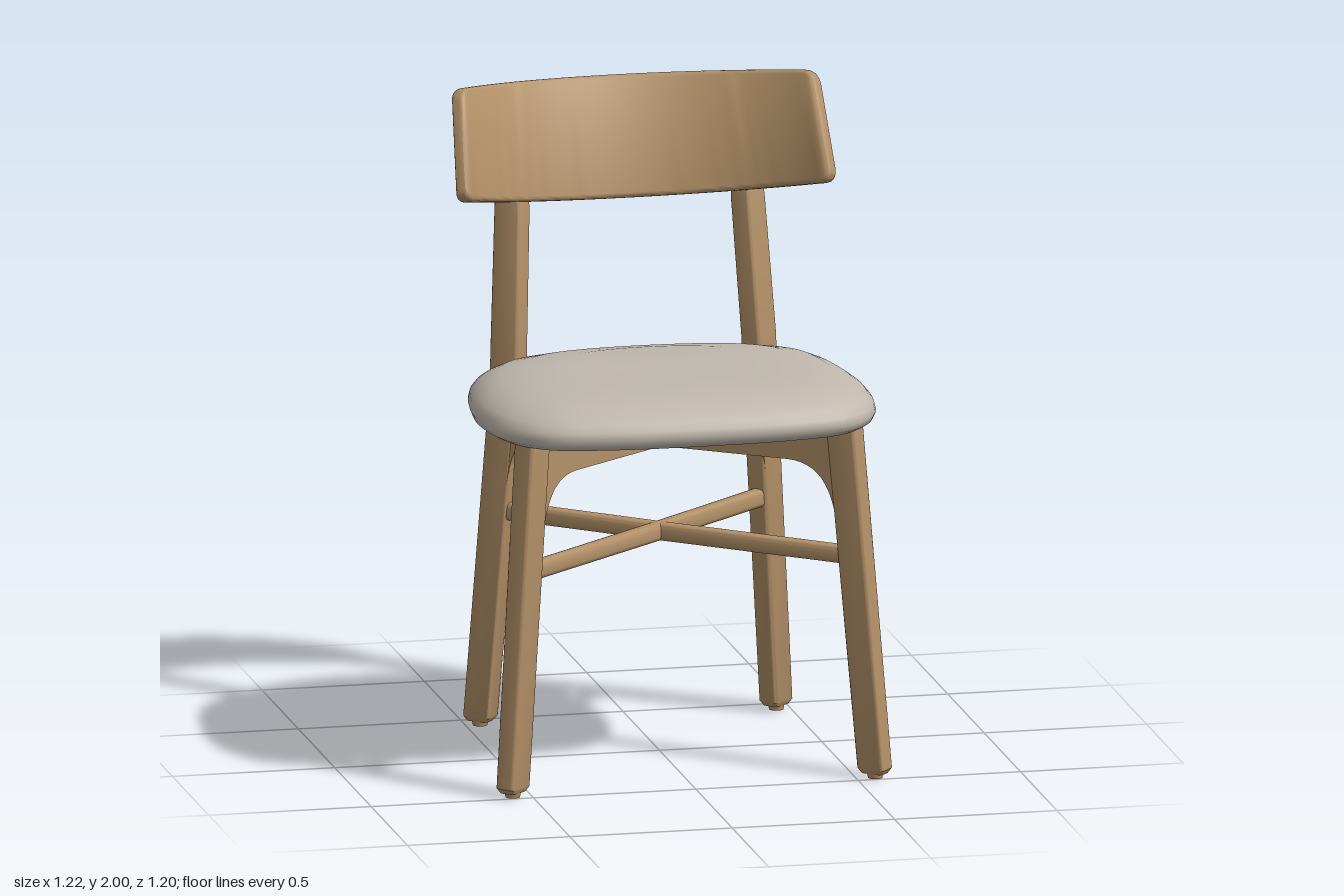
import * as THREE from 'three';
import { toCreasedNormals } from 'three/addons/utils/BufferGeometryUtils.js';

const V = (x, y, z) => new THREE.Vector3(x, y, z);
const UP = V(0, 1, 0);
const CENTRE = V(0, 0, -0.01); // where the diagonal rails cross

// Skin over a list of equal-length rings, closed with a fan at both ends
function loft(rings, crease = 0.6) {
  const n = rings[0].length, pos = [], index = [];
  rings.flat().forEach(p => pos.push(p.x, p.y, p.z));
  for (let i = 0; i < rings.length - 1; i++) {
    for (let j = 0; j < n; j++) {
      const k = (j + 1) % n, a = i * n, b = a + n;
      index.push(a + j, a + k, b + k, a + j, b + k, b + j);
    }
  }
  [0, rings.length - 1].forEach((r, end) => {
    const mid = rings[r].reduce((s, p) => s.add(p), V(0, 0, 0)).divideScalar(n);
    const c = pos.length / 3;
    pos.push(mid.x, mid.y, mid.z);
    for (let j = 0; j < n; j++) {
      const a = r * n + j, b = r * n + (j + 1) % n;
      if (end) index.push(c, a, b); else index.push(c, b, a);
    }
  });
  const g = new THREE.BufferGeometry();
  g.setAttribute('position', new THREE.Float32BufferAttribute(pos, 3));
  g.setIndex(index);
  return toCreasedNormals(g, crease);
}

// Counter-clockwise rounded rectangle, as [u, v] pairs
function roundRect(w, h, r, steps = 3) {
  const pts = [];
  for (let q = 0; q < 4; q++) {
    const cx = (q === 0 || q === 3 ? 1 : -1) * (w / 2 - r);
    const cy = (q < 2 ? 1 : -1) * (h / 2 - r);
    for (let i = 0; i <= steps; i++) {
      const a = (q + i / steps) * Math.PI / 2;
      pts.push([cx + r * Math.cos(a), cy + r * Math.sin(a)]);
    }
  }
  return pts;
}

const ring = (c, e1, e2, w, h, r) => roundRect(w, h, r)
  .map(([u, v]) => c.clone().addScaledVector(e1, u).addScaledVector(e2, v));

// Leg: sections [x, y, z, depth along the diagonal, width]
function legGeometry(side, sections, dir) {
  const across = UP.clone().cross(dir);
  return loft(sections.map(([x, y, z, d, w]) => ring(V(side * x, y, z), dir, across, d, w, 0.01)));
}

// Half rail with a curved bracket running down into the leg
function railGeometry(length, slope, dir) {
  const inner = length - 0.04 + slope * 0.3, s = new THREE.Shape();
  s.moveTo(0, 1.075);
  s.lineTo(0, 0.948);
  s.lineTo(inner - 0.17, 0.958);
  s.bezierCurveTo(inner - 0.07, 0.958, inner - 0.02, 0.9, inner, 0.76);
  s.lineTo(inner + 0.03, 0.76);
  s.lineTo(length, 1.075);
  const g = new THREE.ExtrudeGeometry(s, { depth: 0.06, bevelEnabled: false, curveSegments: 12 });
  g.translate(0, 0, -0.03);
  g.rotateY(Math.atan2(-dir.z, dir.x));
  g.translate(CENTRE.x, 0, CENTRE.z);
  return toCreasedNormals(g, 0.5);
}

function stretcherGeometry(length, dir) {
  const across = UP.clone().cross(dir);
  return loft([0, length].map(d => {
    const c = CENTRE.clone().addScaledVector(dir, d);
    c.y = 0.678;
    return ring(c, across, UP, 0.045, 0.055, 0.014);
  }));
}

// Cushion: one outline, scaled through a soft profile
function seatGeometry() {
  const half = [[0.3, 0.58], [0.48, 0.53], [0.57, 0.41], [0.605, 0.2], [0.587, 0],
    [0.54, -0.18], [0.42, -0.34], [0.22, -0.455]];
  const outline = [[0, 0.595], ...half, [0, -0.495], ...half.map(([x, z]) => [-x, z]).reverse()];
  const curve = new THREE.CatmullRomCurve3(outline.map(([x, z]) => V(x, 0, z)), true);
  const pts = curve.getPoints(80).slice(0, 80);
  const profile = [[0.05, 1.06], [0.6, 1.06], [0.88, 1.06], [0.95, 1.065], [0.985, 1.078], [1, 1.1],
    [0.99, 1.125], [0.96, 1.148], [0.91, 1.17], [0.83, 1.19], [0.7, 1.204], [0.5, 1.21], [0.25, 1.208], [0.05, 1.206]];
  return loft(profile.map(([s, y]) => pts.map(p => {
    const x = p.x * s, z = 0.05 + (p.z - 0.05) * s;
    const top = Math.max(0, (y - 1.1) / 0.1);
    const dip = z < 0 ? 0.27 * z * z * top : 0;
    return V(x, y - dip + 0.02 * z * Math.max(0, 1 - top), z);
  })), 1.2);
}

// Backrest: leaning board bent round an arc, with rounded corners
function backrestGeometry() {
  const sections = [], R = 0.04, N = 40, us = [];
  for (let i = 0; i <= 6; i++) us.push(1 - R / 0.66 * (1 - Math.cos(i / 6 * Math.PI / 2)));
  const inner = us[us.length - 1];
  const all = [...us.map(u => -u)];
  for (let i = 1; i < N; i++) all.push(inner * (2 * i / N - 1));
  all.push(...us.reverse());
  for (const u of all) {
    const d = Math.max(0, Math.abs(u) - inner) * 0.66;
    const inset = (R - Math.sqrt(Math.max(0, R * R - d * d))) / 0.36;
    const thin = 1 - 0.4 * Math.pow(d / R, 4);
    sections.push(roundRect(0.36, 0.046, 0.014).map(([a, b]) => {
      const v = 0.5 + a / 0.36 * (1 - 2 * inset);
      const w = b * thin;
      const angle = u * THREE.MathUtils.degToRad(53.2 - 2.7 * v);
      const r = 0.718 - w;
      const sag = (1 - Math.cos(angle)) / 0.39;
      const y = 1.604 + 0.348 * v + (0.085 - 0.035 * v) * sag + w * 0.27;
      return V(r * Math.sin(angle), y, 0.275 - 0.14 * v - r * Math.cos(angle));
    }));
  }
  return loft(sections, 0.8);
}

export function createModel() {
  const model = new THREE.Group();
  const wood = new THREE.MeshStandardMaterial({ color: 0xb39168 });
  wood.name = 'oak wood';
  const fabric = new THREE.MeshStandardMaterial({ color: 0xc0b8ad });
  fabric.name = 'grey fabric';
  const add = (name, geometry, material = wood) => {
    const mesh = new THREE.Mesh(geometry, material);
    mesh.name = name;
    model.add(mesh);
    return mesh;
  };

  add('seat', seatGeometry(), fabric);
  add('backrest', backrestGeometry());

  // Front legs end under the seat; back legs bend and carry the backrest
  const legs = {
    front: [[0.558, 0.015, 0.474, 0.07, 0.05], [0.557, 0.03, 0.473, 0.09, 0.066], [0.48, 1.085, 0.4, 0.095, 0.07]],
    back: [[0.456, 0.015, -0.43, 0.07, 0.05], [0.455, 0.03, -0.429, 0.09, 0.066], [0.387, 1.08, -0.353, 0.095, 0.07],
      [0.385, 1.18, -0.353, 0.095, 0.07], [0.363, 1.6, -0.406, 0.09, 0.07],
      [0.356, 1.835, -0.462, 0.06, 0.055], [0.356, 1.85, -0.465, 0.045, 0.04]],
  };
  for (const [end, sections] of Object.entries(legs)) {
    for (const side of [1, -1]) {
      const name = end + (side > 0 ? 'Left' : 'Right');
      const [fx, , fz] = sections[0], [tx, , tz] = sections[2];
      const reach = V(side * tx, 0, tz).sub(CENTRE);
      const foot = V(side * fx, 0, fz).sub(CENTRE);
      const length = reach.length(), dir = reach.clone().normalize();
      const slope = foot.length() - length;
      add(name + 'Leg', legGeometry(side, sections, dir));
      add(name + 'Rail', railGeometry(length, slope, dir));
      add(name + 'Stretcher', stretcherGeometry(length + slope * 0.37, dir));
      add(name + 'FootPad', new THREE.CylinderGeometry(0.026, 0.022, 0.02, 16))
        .position.set(side * fx, 0.01, fz);
    }
  }
  return model;
}
